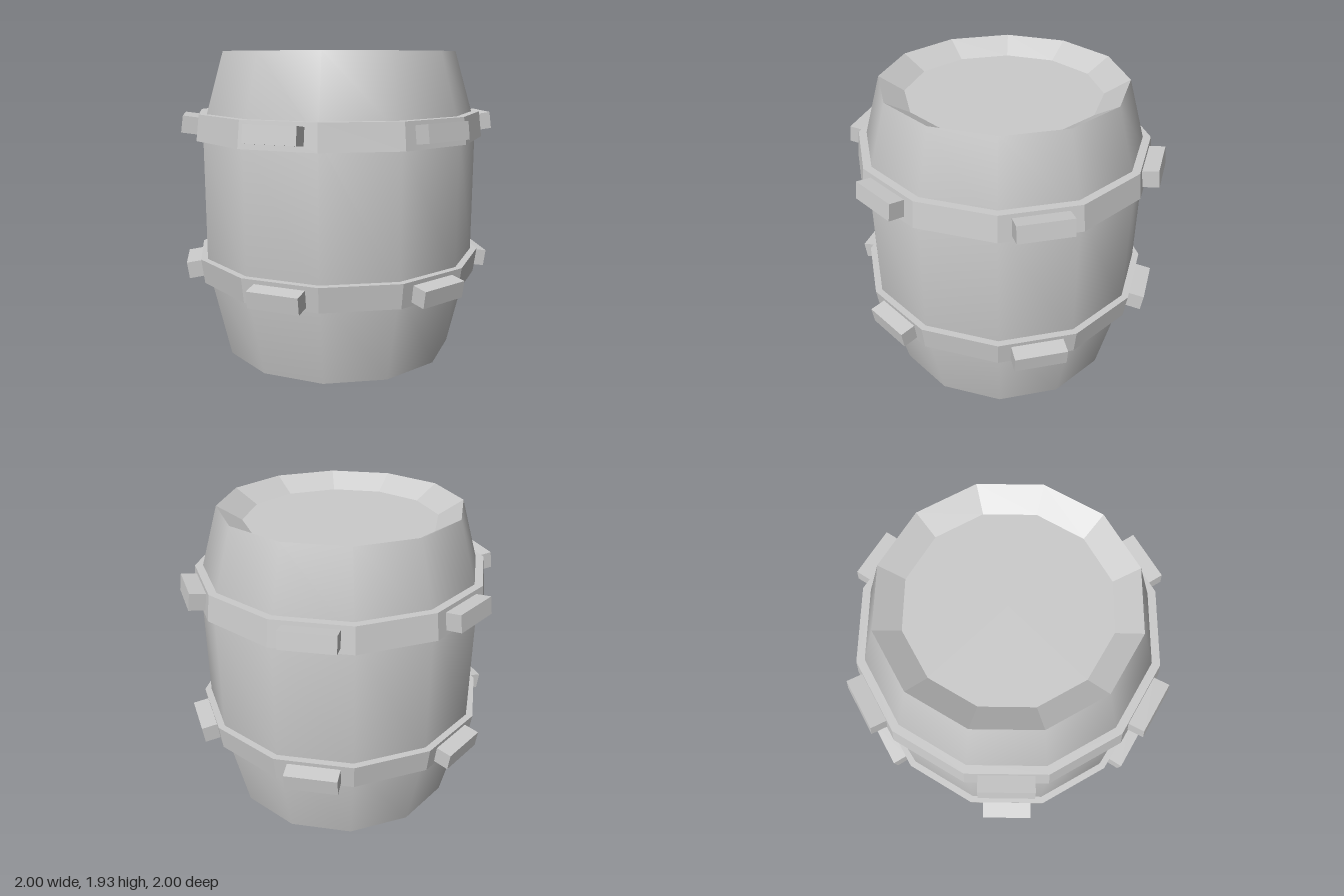
import * as THREE from 'three';

const SIDES = 12;
const smooth = new THREE.MeshStandardMaterial({ color: 0xcccccc });
const faceted = new THREE.MeshStandardMaterial({ color: 0xcccccc, flatShading: true });

// Twelve-sided turned part from [radius, height] pairs
function turned(name, profile, material) {
  const points = profile.map(([r, y]) => new THREE.Vector2(r, y));
  const mesh = new THREE.Mesh(new THREE.LatheGeometry(points, SIDES), material);
  mesh.name = name;
  return mesh;
}

// Tapered hoop with a ring of six blocks leaning with its slope
function hoop(name, y0, y1, r0, r1, blockY, tilt) {
  const group = new THREE.Group();
  group.name = name;
  group.add(turned('band', [[0.85, y0], [r0, y0], [r1, y1], [0.84, y1]], faceted));
  const blockShape = new THREE.BoxGeometry(0.32, 0.105, 0.1);
  for (let i = 0; i < 6; i++) {
    const pivot = new THREE.Group();
    pivot.name = 'blockPivot';
    pivot.rotation.y = -Math.PI / 12 + (i * Math.PI) / 3;
    const block = new THREE.Mesh(blockShape, faceted);
    block.name = 'block';
    block.position.set(0, blockY, 0.936);
    block.rotation.x = tilt;
    pivot.add(block);
    group.add(pivot);
  }
  return group;
}

export function createModel() {
  const barrel = new THREE.Group();
  barrel.name = 'barrel';

  // Bulging wall
  barrel.add(turned('wall', [[0.75, 0], [0.887, 0.6], [0.887, 1.47], [0.75, 1.935]], smooth));

  // Flat underside and sunken lid
  barrel.add(turned('base', [[0, 0], [0.75, 0]], faceted));
  barrel.add(turned('lid', [[0.75, 1.935], [0.6, 1.845], [0, 1.845]], faceted));

  // Hoops, widest towards the middle of the barrel
  barrel.add(hoop('lowerHoop', 0.5, 0.655, 0.91, 0.93, 0.57, 0.14));
  barrel.add(hoop('upperHoop', 1.4, 1.56, 0.93, 0.91, 1.49, -0.14));

  return barrel;
}
